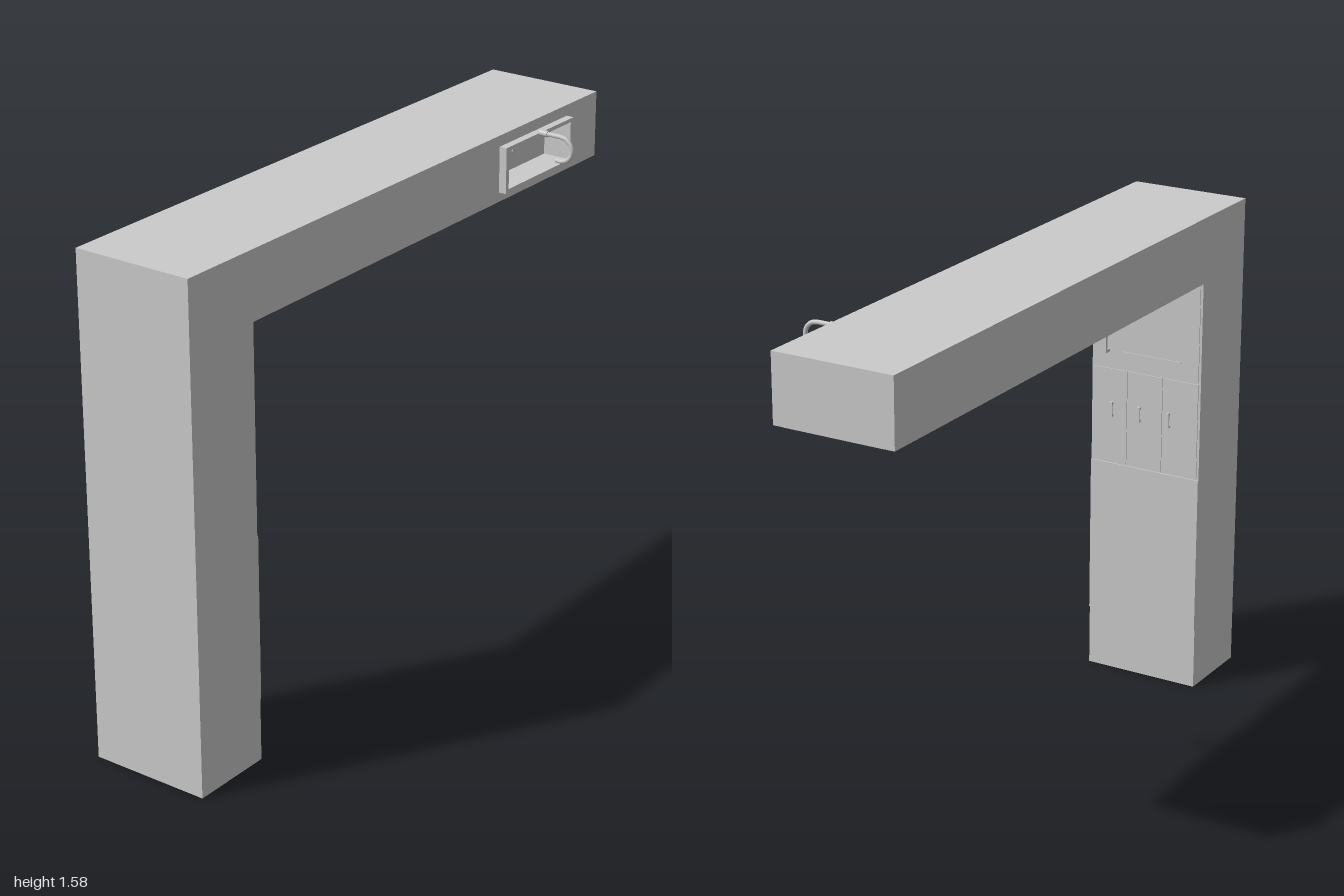
import * as THREE from 'three';

const material = new THREE.MeshStandardMaterial({ color: 0xcccccc });

export function createModel() {
  const root = new THREE.Group();

  const add = (name, geometry) => {
    const mesh = new THREE.Mesh(geometry, material);
    mesh.name = name;
    root.add(mesh);
    return mesh;
  };
  // box given by its min and max along each axis
  const box = (name, x0, x1, y0, y1, z0, z1) =>
    add(name, new THREE.BoxGeometry(x1 - x0, y1 - y0, z1 - z0))
      .position.set((x0 + x1) / 2, (y0 + y1) / 2, (z0 + z1) / 2);
  const rect = (Type, x0, x1, y0, y1) => new Type([
    new THREE.Vector2(x0, y0), new THREE.Vector2(x1, y0),
    new THREE.Vector2(x1, y1), new THREE.Vector2(x0, y1)]);
  const extrude = (name, shape, z0, z1) =>
    add(name, new THREE.ExtrudeGeometry(shape, { depth: z1 - z0, bevelEnabled: false })).position.z = z0;

  // L-shaped cabinet run: solid carcass, then a worktop layer cut out for the basin
  const lShape = () => new THREE.Shape(
    [[-1, 0], [-0.73, 0], [-0.73, 1.37], [1, 1.37], [1, 1.58], [-1, 1.58]]
      .map(([x, y]) => new THREE.Vector2(x, y)));
  extrude('carcass', lShape(), -0.27, 0.05);
  const top = lShape();
  top.holes.push(rect(THREE.Path, 0.475, 0.815, 1.412, 1.533));
  extrude('worktop', top, 0.05, 0.12);

  // sink rim and drain
  const rim = rect(THREE.Shape, 0.46, 0.83, 1.4, 1.545);
  rim.holes.push(rect(THREE.Path, 0.475, 0.815, 1.412, 1.533));
  extrude('sinkRim', rim, 0.12, 0.145);
  const drain = add('drain', new THREE.CylinderGeometry(0.015, 0.015, 0.006, 20));
  drain.rotation.x = Math.PI / 2;
  drain.position.set(0.645, 1.475, 0.053);

  // hooked tap
  const path = new THREE.CurvePath();
  const v = (y, z) => new THREE.Vector3(0.645, y, z);
  path.add(new THREE.LineCurve3(v(1.545, 0.14), v(1.545, 0.215)));
  const arc = [];
  for (let i = 0; i <= 8; i++) {
    const a = (i / 8) * Math.PI * 1.08;
    arc.push(v(1.506 + 0.039 * Math.cos(a), 0.217 + 0.042 * Math.sin(a)));
  }
  path.add(new THREE.CatmullRomCurve3(arc));
  add('tap', new THREE.TubeGeometry(path, 40, 0.007, 10));
  const tapEnd = add('tapMouth', new THREE.SphereGeometry(0.007, 10, 8));
  tapEnd.position.copy(arc[8]);
  const collar = add('tapCollar', new THREE.CylinderGeometry(0.01, 0.01, 0.028, 14));
  collar.rotation.x = Math.PI / 2;
  collar.position.set(0.645, 1.545, 0.158);

  // doors under the long run
  const proud = 0.004;
  const seams = [1, 0.68, 0.35, 0.02, -0.28];
  for (let i = 0; i < 4; i++) {
    const x0 = seams[i + 1] + 0.008, x1 = seams[i] - 0.008;
    box('door', x0, x1, 1.37 - proud, 1.371, -0.235, 0.095);
  }
  // drawer stack, each front outlined by a raised frame
  for (let i = 0; i < 4; i++) {
    const z = -0.235 + i * 0.083;
    box('drawerFront', -0.545, -0.29, 1.37 - proud, 1.371, z, z + 0.074);
    box('drawerGrip', -0.5, -0.335, 1.367 - proud, 1.37, z + 0.052, z + 0.06);
  }
  box('cornerDoor', -0.72, -0.56, 1.37 - proud, 1.371, -0.235, 0.095);
  box('cornerGrip', -0.69, -0.675, 1.362, 1.37, 0.035, 0.08);

  // small bar handle standing off the long run
  for (const x of [-0.255, 0.33, 0.37, 0.7]) {
    box('doorHandle', x - 0.005, x + 0.005, 1.354, 1.36, 0.035, 0.083);
    for (const z of [0.035, 0.077])
      box('doorHandlePost', x - 0.004, x + 0.004, 1.358, 1.37, z, z + 0.006);
  }

  // tall unit on the short run: upper door, three narrow fronts, lower panel
  const face = -0.73;
  box('tallDoor', face - 0.001, face + 0.003, 1.047, 1.365, -0.262, 0.115);
  box('tallDoorTrim', face, face + 0.006, 1.1, 1.104, -0.2, 0.01);
  for (let i = 0; i < 3; i++) {
    const z0 = -0.262 + i * 0.127, zc = [-0.16, -0.055, 0.045][i];
    box('narrowFront', face - 0.001, face + 0.003, 0.725, 1.04, z0, z0 + 0.122);
    box('narrowHandle', face + 0.008, face + 0.013, 0.88, 0.93, zc - 0.005, zc + 0.005);
    for (const y of [0.88, 0.922])
      box('narrowHandlePost', face, face + 0.01, y, y + 0.008, zc - 0.005, zc + 0.005);
  }
  box('lowerPanel', face - 0.001, face + 0.004, 0.2, 0.72, -0.27, 0.12);

  // long pull handle on the tall door
  box('pullHandle', face + 0.02, face + 0.03, 1.097, 1.335, 0.055, 0.078);
  for (const y of [1.097, 1.325])
    box('pullHandlePost', face, face + 0.022, y, y + 0.01, 0.055, 0.078);

  return root;
}
